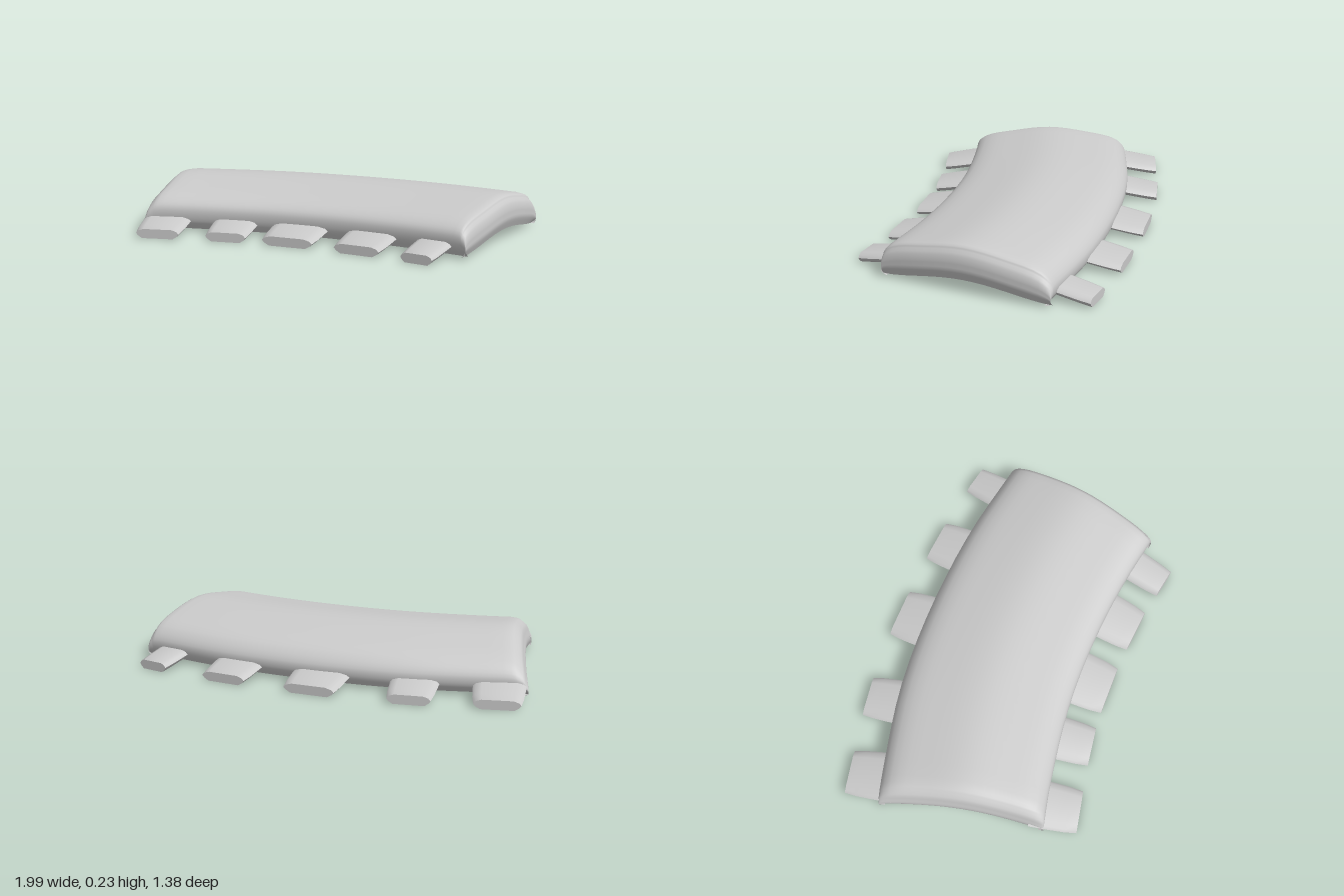
import * as THREE from 'three';
import { toCreasedNormals } from 'three/addons/utils/BufferGeometryUtils.js';

const material = new THREE.MeshStandardMaterial({ color: 0xcccccc });

// Smooth curve through 2D points, sampled evenly between them
function sample(points, perSegment) {
  const curve = new THREE.CatmullRomCurve3(points.map(([a, b]) => new THREE.Vector3(a, b, 0)));
  return curve.getPoints((points.length - 1) * perSegment);
}

// Plan curve through x, z pairs
const plan = (points) => new THREE.CatmullRomCurve3(points.map(([x, z]) => new THREE.Vector3(x, 0, z)));
const frontEdge = plan([[-0.71, 0.53], [-0.5, 0.46], [-0.1, 0.36], [0.25, 0.315], [0.6, 0.305], [0.94, 0.325]]);
const backEdge = plan([[-0.97, -0.25], [-0.72, -0.34], [-0.4, -0.44], [0, -0.51], [0.5, -0.54], [0.985, -0.51]]);

// Point on the plan: u runs right to left side, v runs front to back
function planPoint(u, v) {
  const p = frontEdge.getPointAt(THREE.MathUtils.clamp(u, 0, 1));
  p.lerp(backEdge.getPointAt(THREE.MathUtils.clamp(u, 0, 1)), v);
  p.x += 0.1 * v * (1 - v);
  return p;
}

const underside = (v) => 0.015 + 0.052 * Math.pow(Math.max(0, Math.sin(Math.PI * v)), 1.5);

// Arched plate: a domed top sheet with rounded rim and a hollow underside
function makePlate() {
  const across = sample([
    [0.03, underside(0.03)], [0, 0.06], [0, 0.125], [0.06, 0.17], [0.26, 0.21], [0.5, 0.235],
    [0.74, 0.21], [0.935, 0.165], [1, 0.105], [1, 0.055], [0.97, underside(0.97)],
  ], 4);
  const along = sample([
    [0.007, 0], [0, 0.25], [0.005, 0.5], [0.022, 0.85], [0.06, 1], [0.25, 1], [0.5, 1],
    [0.75, 1], [0.962, 1], [0.989, 0.85], [1, 0.55], [1, 0.3], [0.989, 0],
  ], 4);
  const cols = across.length;
  const count = along.length * cols;
  const positions = [];
  const index = [];
  for (const top of [true, false]) {
    for (const { x: u0, y: rise } of along) {
      for (const { x: v0, y: height } of across) {
        const u = top ? u0 : THREE.MathUtils.clamp(u0, 0.007, 0.989);
        const v = top ? v0 : THREE.MathUtils.clamp(v0, 0.03, 0.97);
        const p = planPoint(u, v);
        const base = underside(v);
        const y = top ? base + (height - base) * THREE.MathUtils.clamp(rise, 0, 1) : base;
        positions.push(p.x, y, p.z);
      }
    }
    const start = top ? 0 : count;
    for (let i = 0; i < along.length - 1; i++) {
      for (let j = 0; j < cols - 1; j++) {
        const a = start + i * cols + j, b = a + cols, c = a + 1, d = b + 1;
        if (top) index.push(a, b, c, b, d, c);
        else index.push(a, c, b, b, c, d);
      }
    }
  }
  const geometry = new THREE.BufferGeometry();
  geometry.setAttribute('position', new THREE.Float32BufferAttribute(positions, 3));
  geometry.setIndex(index);
  geometry.computeVertexNormals();
  return new THREE.Mesh(geometry, material);
}

// Flat tab with pointed sides, sloping down to its outer end
const tabSection = new THREE.Shape([
  [-0.36, 0], [0.36, 0], [0.46, 0.3], [0.5, 0.55], [0.45, 0.82], [0.33, 1],
  [-0.33, 1], [-0.45, 0.82], [-0.5, 0.55], [-0.46, 0.3],
].map(([x, y]) => new THREE.Vector2(x, y)));

function makeTab([x1, z1, x2, z2], side) {
  const width = Math.hypot(x2 - x1, z2 - z1);
  const length = 0.24;
  const geometry = new THREE.ExtrudeGeometry(tabSection, { depth: 1, steps: 4, bevelEnabled: false });
  const pos = geometry.attributes.position;
  for (let i = 0; i < pos.count; i++) {
    const inward = 1 - pos.getZ(i);
    pos.setXYZ(
      i,
      pos.getX(i) * width * (1 + 0.16 * Math.sqrt(inward)),
      0.004 + pos.getY(i) * 0.046 + 0.04 * inward,
      -inward * length,
    );
  }
  const tab = new THREE.Mesh(toCreasedNormals(geometry, 0.9), material);
  tab.position.set((x1 + x2) / 2, 0, (z1 + z2) / 2);
  tab.rotation.y = Math.atan2(-side * (z2 - z1), side * (x2 - x1));
  return tab;
}

// Outer edge of each tab: x, z to x, z
const frontTabs = [
  [-0.645, 0.685, -0.44, 0.62], [-0.31, 0.58, -0.115, 0.53], [-0.03, 0.515, 0.225, 0.485],
  [0.34, 0.48, 0.57, 0.475], [0.685, 0.485, 0.845, 0.495],
];
const backTabs = [
  [-1, -0.43, -0.79, -0.495], [-0.605, -0.555, -0.405, -0.605], [-0.155, -0.65, 0.1, -0.675],
  [0.31, -0.69, 0.54, -0.695], [0.76, -0.69, 0.92, -0.675],
];

export function createModel() {
  const group = new THREE.Group();
  group.name = 'archedPlate';
  const plate = makePlate();
  plate.name = 'plate';
  group.add(plate);
  for (const [name, tabs, side] of [['frontTab', frontTabs, 1], ['backTab', backTabs, -1]]) {
    tabs.forEach((edge, i) => {
      const tab = makeTab(edge, side);
      tab.name = name + (i + 1);
      group.add(tab);
    });
  }
  return group;
}
